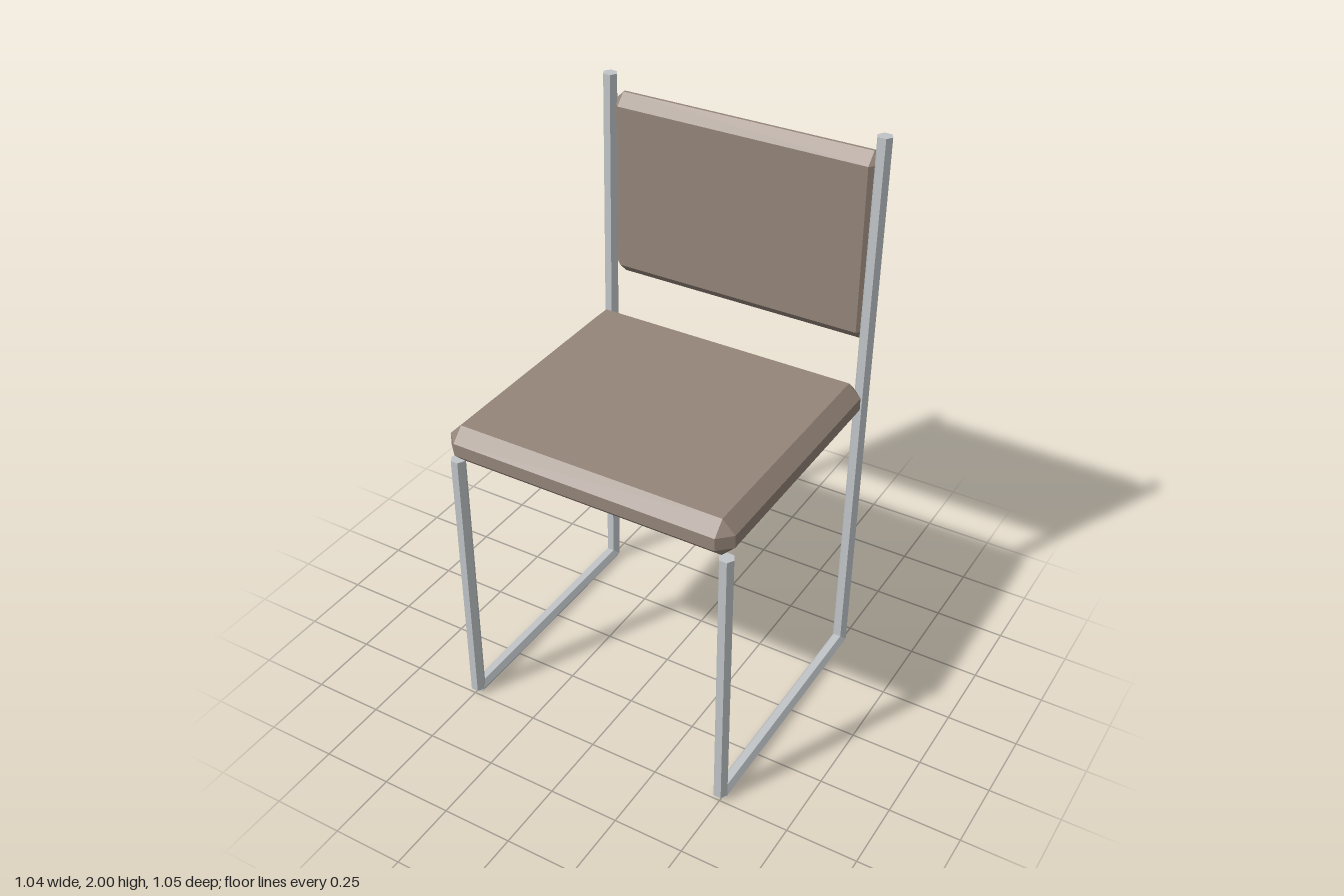
import * as THREE from 'three';
import { ConvexGeometry } from 'three/addons/geometries/ConvexGeometry.js';

// Box with every edge chamfered by c and small triangles at the corners
function chamferedBox(w, h, d, c) {
  const points = [];
  for (const sx of [-1, 1]) for (const sy of [-1, 1]) for (const sz of [-1, 1]) {
    const x = w / 2, y = h / 2, z = d / 2;
    points.push(
      new THREE.Vector3(sx * x, sy * (y - c), sz * (z - c)),
      new THREE.Vector3(sx * (x - c), sy * y, sz * (z - c)),
      new THREE.Vector3(sx * (x - c), sy * (y - c), sz * z),
    );
  }
  return new ConvexGeometry(points);
}

export function createModel() {
  const model = new THREE.Group();
  model.name = 'chair';

  const upholstery = new THREE.MeshStandardMaterial({ name: 'brown upholstery', color: 0x95857a, flatShading: true });
  const metal = new THREE.MeshStandardMaterial({ name: 'grey metal', color: 0xc2c6c9, flatShading: true });

  // Cushions
  function cushion(name, [w, h, d], c, y, z) {
    const mesh = new THREE.Mesh(chamferedBox(w, h, d, c), upholstery);
    mesh.name = name;
    mesh.position.set(0, y, z);
    model.add(mesh);
  }
  cushion('seat', [1.04, 0.135, 0.945], 0.045, 1.083, 0.053);
  cushion('backrest', [0.99, 0.67, 0.088], 0.039, 1.6, -0.485);

  // Six-sided tube between two [y, z] points in a side plane
  const R = 0.026;
  function tube(name, [y0, z0], [y1, z1]) {
    const length = Math.hypot(y1 - y0, z1 - z0);
    const mesh = new THREE.Mesh(new THREE.CylinderGeometry(R, R, length, 6, 1, false, Math.PI / 2), metal);
    mesh.name = name;
    mesh.position.set(0, (y0 + y1) / 2, (z0 + z1) / 2);
    mesh.rotation.x = Math.atan2(z1 - z0, y1 - y0);
    return mesh;
  }

  // One tubular frame on each side
  const frontFoot = [0.0225, 0.485], rearFoot = [0.0225, -0.415];
  for (const [side, x] of [['left', 0.495], ['right', -0.495]]) {
    const frame = new THREE.Group();
    frame.name = side + 'Frame';
    frame.position.x = x;
    frame.add(
      tube(side + 'FrontLeg', frontFoot, [1.016, 0.485]),
      tube(side + 'Runner', rearFoot, frontFoot),
      tube(side + 'RearUpright', rearFoot, [2, -0.462]),
    );
    model.add(frame);
  }
  return model;
}
